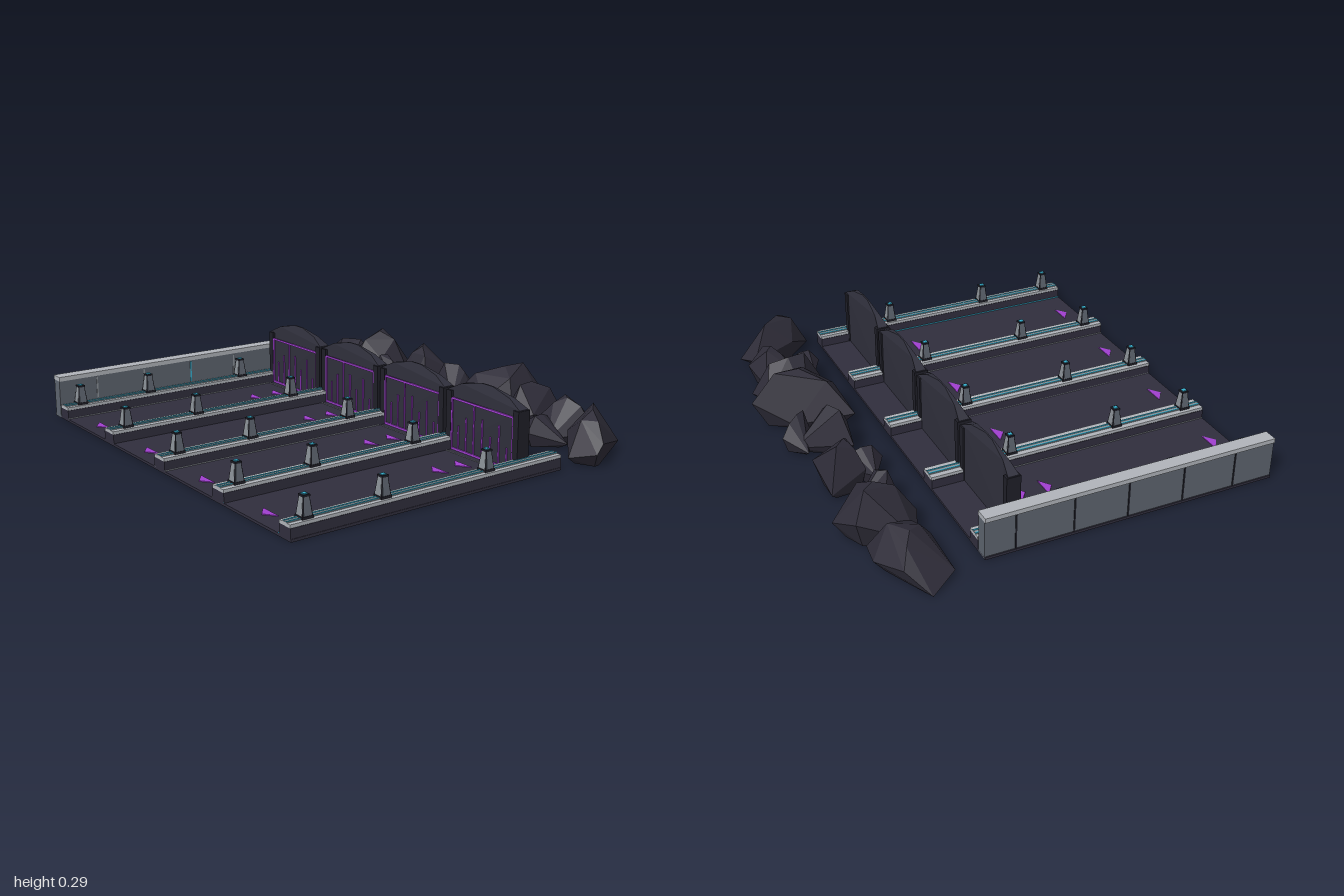
import * as THREE from 'three';
import { ConvexGeometry } from 'three/addons/geometries/ConvexGeometry.js';

const mat = (name, color) => new THREE.MeshStandardMaterial({ name, color, flatShading: true });

export function createModel() {
  const root = new THREE.Group();
  root.name = 'gatedBays';
  const deckMat = mat('dark deck', 0x302e3d);
  const gateMat = mat('gate slate', 0x2f2f3b);
  const rockMat = mat('rock', 0x2e2c38);
  const trimMat = mat('black trim', 0x1f1f28);
  const greyMat = mat('wall grey', 0x5d646e);
  const paleMat = mat('pale cap', 0xb0b4ba);
  const midMat = mat('pylon grey', 0x8a9096);
  const purple = mat('purple light', 0xa03fd0);
  const cyan = mat('cyan light', 0x35b0d0);

  const add = (parent, name, geo, m, x = 0, y = 0, z = 0) => {
    const mesh = new THREE.Mesh(geo, m);
    mesh.name = name;
    mesh.position.set(x, y, z);
    parent.add(mesh);
    return mesh;
  };
  // Box given by its extents
  const box = (parent, name, m, x0, x1, y0, y1, z0, z1) =>
    add(parent, name, new THREE.BoxGeometry(x1 - x0, y1 - y0, z1 - z0), m,
      (x0 + x1) / 2, (y0 + y1) / 2, (z0 + z1) / 2);
  const group = (name, x = 0, z = 0) => {
    const g = new THREE.Group();
    g.name = name;
    g.position.set(x, 0, z);
    root.add(g);
    return g;
  };
  // Four-sided tapered block, half widths r0 (bottom) and r1 (top)
  const frustum = (r0, r1, h) =>
    new THREE.CylinderGeometry(r1 * Math.SQRT2, r0 * Math.SQRT2, h, 4).rotateY(Math.PI / 4);

  const Z0 = -0.52, Z1 = 0.67;
  box(root, 'deck', deckMat, -0.89, 0.86, 0, 0.01, Z0, Z1);

  // Boundary wall with cap and panel seams
  const wall = group('boundaryWall');
  box(wall, 'wallBody', greyMat, -0.885, -0.838, 0, 0.155, Z0, Z1);
  box(wall, 'wallCap', paleMat, -0.89, -0.834, 0.155, 0.173, Z0, Z1);
  for (const z of [-0.4, -0.17, 0.05, 0.28, 0.5]) {
    box(wall, 'outerSeam', trimMat, -0.888, -0.885, 0.01, 0.15, z - 0.003, z + 0.003);
    box(wall, 'innerSeam', z === 0.05 ? cyan : midMat, -0.838, -0.836, 0.06, 0.15, z - 0.003, z + 0.003);
  }

  // Divider rails with light strips and pylons
  [-0.8, -0.395, 0.01, 0.42, 0.825].forEach((x, i) => {
    const w = i === 0 || i === 4 ? 0.033 : 0.038;
    const rail = group('dividerRail', x);
    box(rail, 'curb', deckMat, -w, w, 0.01, 0.046, Z0, Z1);
    box(rail, 'railCap', paleMat, -w + 0.002, w - 0.002, 0.046, 0.058, Z0, Z1);
    box(rail, 'railSpine', midMat, -0.014, 0.014, 0.058, 0.061, Z0, Z1);
    for (const s of [-1, 1])
      box(rail, 'lightStrip', cyan, s * 0.009 - 0.003, s * 0.009 + 0.003, 0.06, 0.063, Z0, Z1);
    for (const z of [-0.18, 0.28, 0.595]) {
      const pylon = group('pylon', x, z);
      box(pylon, 'pylonFoot', trimMat, -0.022, 0.022, 0.058, 0.067, -0.022, 0.022);
      add(pylon, 'pylonCore', frustum(0.02, 0.012, 0.066), trimMat, 0, 0.099);
      add(pylon, 'pylonFacesZ', frustum(0.021, 0.013, 0.062), midMat, 0, 0.099).scale.x = 0.75;
      add(pylon, 'pylonFacesX', frustum(0.021, 0.013, 0.062), greyMat, 0, 0.099).scale.z = 0.75;
      box(pylon, 'pylonHead', trimMat, -0.014, 0.014, 0.13, 0.137, -0.014, 0.014);
      box(pylon, 'pylonLamp', cyan, -0.008, 0.008, 0.137, 0.14, -0.008, 0.008);
    }
  });

  // Gate slab: arched outline thinning to a ridge along the top
  const outline = [[-0.185, 0.01], [0.185, 0.01], [0.192, 0.243], [0.13, 0.273], [0.03, 0.295],
    [-0.03, 0.295], [-0.13, 0.273], [-0.192, 0.243]].map(p => new THREE.Vector2(...p));
  const slab = new THREE.ExtrudeGeometry(new THREE.Shape(outline), { depth: 1, bevelEnabled: false });
  slab.translate(0, 0, -0.5);
  const sp = slab.attributes.position;
  for (let i = 0; i < sp.count; i++) {
    const t = Math.max(0, (sp.getY(i) - 0.243) / 0.052);
    sp.setZ(i, sp.getZ(i) * (0.044 - 0.038 * t));
  }
  slab.computeVertexNormals();

  const arrow = new THREE.ExtrudeGeometry(new THREE.Shape([
    new THREE.Vector2(-0.047, 0.018), new THREE.Vector2(0, -0.018), new THREE.Vector2(0.047, 0.018)]),
  { depth: 0.003, bevelEnabled: false }).rotateX(-Math.PI / 2);

  // Bays: gate, glowing bars and deck arrows
  const bars = [[-0.128, 0.11], [-0.085, 0.15], [-0.043, 0.21], [0.003, 0.165], [0.047, 0.11],
    [0.093, 0.165], [0.135, 0.09]];
  [-0.6, -0.193, 0.215, 0.622].forEach((x, i) => {
    const gate = group('gate', x, -0.365);
    add(gate, 'gateSlab', slab, gateMat);
    for (const s of [-1, 1]) {
      box(gate, 'gatePost', trimMat, s * 0.181 - 0.014, s * 0.181 + 0.014, 0.01, 0.24, -0.028, 0.028);
      box(gate, 'sideGlow', purple, s * 0.164 - 0.003, s * 0.164 + 0.003, 0.012, 0.213, 0.022, 0.027);
    }
    for (const y of [0.015, 0.212])
      box(gate, 'crossGlow', purple, -0.164, 0.164, y - 0.004, y + 0.004, 0.022, 0.027);
    for (const [bx, h] of bars)
      box(gate, 'glowBar', purple, bx - 0.003, bx + 0.003, 0.015, h, 0.022, 0.026);
    box(gate, 'threshold', midMat, -0.165, 0.165, 0.01, 0.012, 0.048, 0.052);

    const bay = group('bay', x);
    for (const z of [-0.235, -0.125, 0.607]) add(bay, 'deckArrow', arrow, purple, 0, 0.01, z);
    for (const s of [-1, 1])
      box(bay, 'edgeLine', i === 3 ? cyan : midMat, s * 0.167 - 0.002, s * 0.167 + 0.002, 0.01, 0.013, -0.31, Z1);
  });

  // Boulders: peak height, then the plan outline as x,z pairs
  const boulders = [
    [0.15, -1, -0.76, -0.92, -0.83, -0.79, -0.89, -0.67, -0.87, -0.66, -0.7, -0.72, -0.65, -0.92, -0.645],
    [0.22, -0.66, -0.9, -0.55, -0.95, -0.46, -0.88, -0.5, -0.75, -0.6, -0.65, -0.73, -0.7],
    [0.15, -0.5, -0.86, -0.34, -0.72, -0.35, -0.68, -0.45, -0.66, -0.52, -0.74],
    [0.21, -0.35, -0.88, -0.2, -0.9, -0.18, -0.75, -0.25, -0.71, -0.34, -0.74],
    [0.12, -0.34, -0.7, -0.2, -0.78, -0.1, -0.74, -0.22, -0.63],
    [0.19, -0.1, -0.7, 0.02, -0.9, 0.07, -0.78, 0.09, -0.66],
    [0.14, -0.03, -0.86, 0.04, -0.94, 0.18, -0.87, 0.12, -0.8],
    [0.23, 0.27, -0.99, 0.36, -0.92, 0.4, -0.72, 0.3, -0.64, 0.1, -0.62, 0.17, -0.85],
    [0.2, 0.36, -0.9, 0.49, -0.93, 0.53, -0.7, 0.45, -0.64, 0.3, -0.75],
    [0.17, 0.53, -0.86, 0.63, -0.9, 0.72, -0.84, 0.63, -0.68, 0.52, -0.74],
    [0.12, 0.5, -0.65, 0.55, -0.78, 0.7, -0.72, 0.6, -0.6],
    [0.19, 0.7, -0.85, 0.8, -0.89, 0.94, -0.65, 0.94, -0.62, 0.84, -0.575, 0.74, -0.67],
  ];
  const rocks = group('boulders');
  boulders.forEach(([h, ...xz], k) => {
    const n = xz.length / 2;
    let cx = 0, cz = 0;
    for (let i = 0; i < n; i++) { cx += xz[2 * i] / n; cz += xz[2 * i + 1] / n; }
    const pts = [];
    for (let i = 0; i < n; i++) {
      const dx = xz[2 * i] - cx, dz = xz[2 * i + 1] - cz;
      const low = k === 0 && i === 0 ? 0.005 : h * [0.15, 0.5, 0.3][(i + k) % 3];
      pts.push(new THREE.Vector3(cx + dx, low, cz + dz));
      pts.push(new THREE.Vector3(cx + dx * 0.7, 0, cz + dz * 0.7));
      if ((i + k) % 2) pts.push(new THREE.Vector3(cx + dx * 0.5, h * (i % 3 ? 0.85 : 1), cz + dz * 0.5));
    }
    pts.push(new THREE.Vector3(cx, h, cz));
    add(rocks, 'boulder', new ConvexGeometry(pts), rockMat);
  });

  return root;
}
